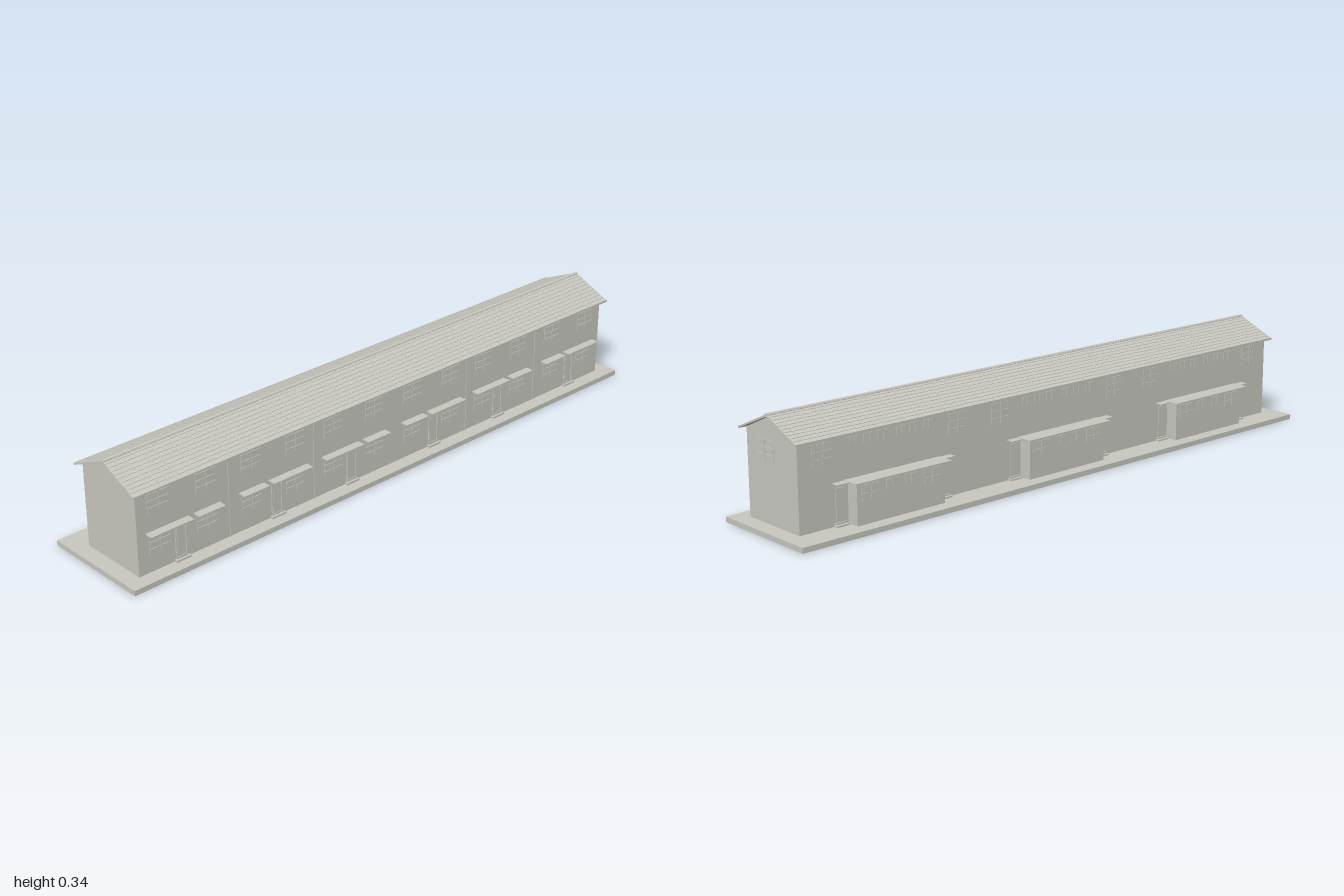
import * as THREE from 'three';
import { mergeGeometries } from 'three/addons/utils/BufferGeometryUtils.js';

const FRONT = 0.134, BACK = -0.097, RIDGE_Z = 0.018, SLAB = 0.016;
const BAYS = [-0.633, 0, 0.633];   // centres of the three mirrored pairs of houses

export function createModel() {
  const model = new THREE.Group();
  model.name = 'terracedHouses';
  const render = new THREE.MeshStandardMaterial({ color: 0xc8c8c0 });
  render.name = 'paleStone';

  const add = (name, geometry, parent = model) => {
    const mesh = new THREE.Mesh(geometry, render);
    mesh.name = name;
    parent.add(mesh);
    return mesh;
  };
  // box given by its limits on each axis
  const box = (x0, x1, y0, y1, z0, z1) =>
    new THREE.BoxGeometry(x1 - x0, y1 - y0, z1 - z0)
      .translate((x0 + x1) / 2, (y0 + y1) / 2, (z0 + z1) / 2);
  // (z, y) outline extruded along x
  const alongX = (points, halfLength) =>
    new THREE.ExtrudeGeometry(new THREE.Shape(points.map(p => new THREE.Vector2(...p))),
      { depth: halfLength * 2, bevelEnabled: false })
      .translate(0, 0, -halfLength).rotateY(-Math.PI / 2);
  // slightly proud grid of panes, centred on x = 0, facing +z
  const panes = (w, h, cols, rows, gap = 0.003) => {
    const parts = [], pw = (w - gap * (cols - 1)) / cols, ph = (h - gap * (rows - 1)) / rows;
    for (let c = 0; c < cols; c++) for (let r = 0; r < rows; r++) {
      const x = -w / 2 + c * (pw + gap), y = r * (ph + gap);
      parts.push(box(x, x + pw, y, y + ph, -0.002, 0.002));
    }
    return mergeGeometries(parts);
  };
  const frontWindow = (x, y) =>
    add('frontWindow', panes(0.072, 0.059, 2, 3)).position.set(x, y, FRONT);
  const backWindow = (name, x, y, z, w, h, cols, rows) => {
    const mesh = add(name, panes(w, h, cols, rows));
    mesh.position.set(x, y, z);
    mesh.rotation.y = Math.PI;
  };

  // base slab and gabled body
  add('baseSlab', box(-1, 1, 0, SLAB, -0.18, 0.18));
  add('walls', alongX([[BACK, SLAB], [FRONT, SLAB], [FRONT, 0.273], [RIDGE_Z, 0.325], [BACK, 0.273]], 0.95));

  // roof with overlapping tile courses on both slopes
  const RUN = 0.132, EAVE = 0.272, TOP = 0.33, COURSES = 10, LIP = 0.0015;
  const slope = [];
  for (let i = 0; i < COURSES; i++) {
    const at = t => [RUN * (1 - t), EAVE + (TOP - EAVE) * t];
    const [d0, y0] = at(i / COURSES), [d1, y1] = at((i + 1) / COURSES);
    slope.push([d0, y0 + LIP], [d1, y1]);
  }
  const under = [[RUN, EAVE - 0.003], [0, TOP - 0.005]];
  const outline = [
    ...slope.map(([d, y]) => [RIDGE_Z + d, y]),
    ...slope.slice(0, -1).reverse().map(([d, y]) => [RIDGE_Z - d, y]),
    [RIDGE_Z - under[0][0], under[0][1]], [RIDGE_Z, under[1][1]], [RIDGE_Z + under[0][0], under[0][1]],
  ];
  add('tiledRoof', alongX(outline, 0.965));

  // shallow upright tile joints
  const angle = Math.atan2(TOP - EAVE, RUN), length = Math.hypot(RUN, TOP - EAVE);
  for (const side of [1, -1]) {
    const ribs = [];
    for (let i = 0; i <= 64; i++) {
      ribs.push(new THREE.BoxGeometry(0.003, 0.002, length).rotateX(side * angle)
        .translate(-0.9625 + i * 1.925 / 64, (TOP + EAVE) / 2 + 0.0008, RIDGE_Z + side * RUN / 2));
    }
    add('tileJoints', mergeGeometries(ribs));
    const z = RIDGE_Z + side * (RUN + 0.001);
    add('gutter', box(-0.965, 0.965, 0.268, 0.2745, z - 0.002, z + 0.002));
  }
  const ridge = add('ridgeCap', new THREE.CylinderGeometry(0.006, 0.006, 1.93, 8).toNonIndexed());
  ridge.geometry.computeVertexNormals();
  ridge.rotation.z = Math.PI / 2;
  ridge.position.set(0, 0.329, RIDGE_Z);

  // window in the left gable
  const gable = add('gableWindow', panes(0.073, 0.059, 2, 3));
  gable.rotation.y = Math.PI / 2;
  gable.position.set(0.95, 0.196, 0.047);

  // upright strips between the houses
  for (const x of [-0.633, -0.317, 0.317, 0.633])
    add('partyStrip', box(x - 0.002, x + 0.002, SLAB, 0.268, FRONT - 0.002, FRONT + 0.002));

  for (const bay of BAYS) {
    for (const s of [1, -1]) {
      // front windows with canopies below, plain windows above
      for (const offset of [0.243, 0.08]) {
        const x = bay + s * offset;
        frontWindow(x, 0.07);
        frontWindow(x, 0.196);
        add('windowCanopy', box(x - 0.046, x + 0.046, 0.137, 0.140, FRONT, 0.161));
      }

      // front door with jambs, canopy and steps
      const d = bay + s * 0.172;
      add('frontDoor', box(d - 0.014, d + 0.014, 0.028, 0.124, FRONT - 0.002, FRONT + 0.002));
      for (const j of [-1, 1])
        add('doorJamb', box(d + j * 0.018 - 0.002, d + j * 0.018 + 0.002, SLAB, 0.137, FRONT, FRONT + 0.003));
      add('doorCanopy', box(d - 0.029, d + 0.029, 0.137, 0.140, FRONT, 0.161));
      add('lowerStep', box(d - 0.025, d + 0.025, SLAB, 0.022, FRONT, 0.145));
      add('upperStep', box(d - 0.02, d + 0.02, 0.022, 0.028, FRONT, 0.138));

      // back door beside the extension
      const b = bay + s * 0.182;
      add('backDoor', box(b - 0.014, b + 0.014, 0.026, 0.124, BACK - 0.002, BACK + 0.002));
      add('backLowerStep', box(b - 0.022, b + 0.022, SLAB, 0.021, BACK - 0.014, BACK));
      add('backUpperStep', box(b - 0.018, b + 0.018, 0.021, 0.026, BACK - 0.006, BACK));
      add('backDoorCanopy', box(b - 0.025, b + 0.025, 0.137, 0.140, -0.122, BACK));

      // extension windows and upper back windows
      backWindow('extensionWindow', bay + s * 0.108, 0.084, -0.137, 0.06, 0.045, 2, 2);
      backWindow('extensionSmallWindow', bay + s * 0.033, 0.1, -0.137, 0.044, 0.029, 2, 1);
      backWindow('backWindow', bay + s * 0.236, 0.196, BACK, 0.066, 0.062, 2, 3);
      for (const o of [0.032, 0.08, 0.128])
        backWindow('highWindow', bay + s * o, 0.232, BACK, 0.034, 0.026, 2, 1);
    }
    // back extension and its flat roof
    add('backExtension', box(bay - 0.154, bay + 0.154, SLAB, 0.138, -0.137, BACK));
    add('extensionRoof', box(bay - 0.168, bay + 0.168, 0.138, 0.1415, -0.153, BACK));
  }
  return model;
}
